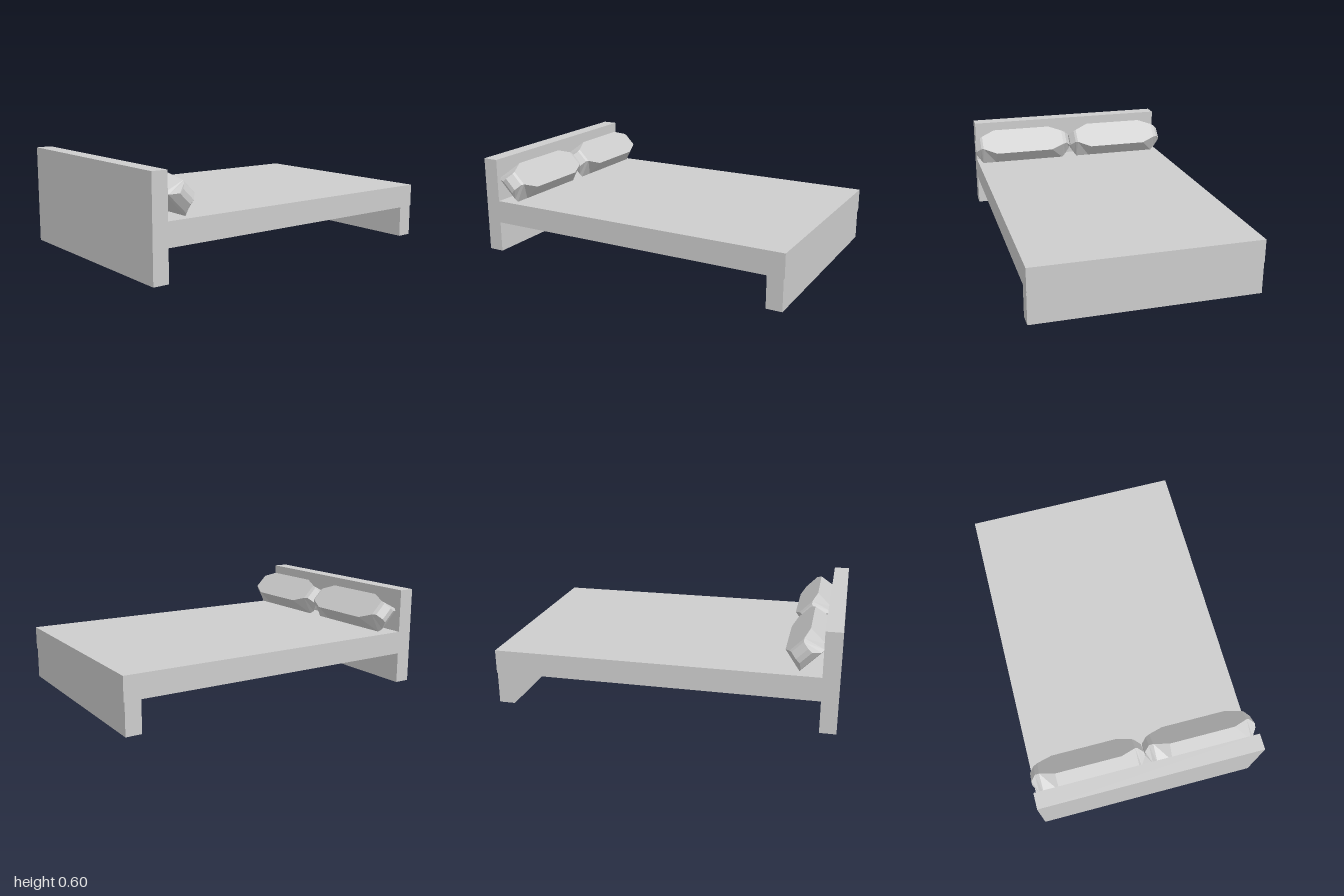
import * as THREE from 'three';

const lightGrey = new THREE.MeshStandardMaterial({ color: 0xcccccc, flatShading: true });
lightGrey.name = 'lightGrey';

// Box given by its extents on each axis
function slab(name, [x0, x1], [y0, y1], [z0, z1]) {
  const mesh = new THREE.Mesh(new THREE.BoxGeometry(x1 - x0, y1 - y0, z1 - z0), lightGrey);
  mesh.position.set((x0 + x1) / 2, (y0 + y1) / 2, (z0 + z1) / 2);
  mesh.name = name;
  return mesh;
}

// Faceted pillow lofted along x: [x, upper half width, lower half width, half thickness]
function pillowGeometry() {
  const sections = [
    [0, 0.045, 0.045, 0.015],
    [0.03, 0.045, 0.075, 0.054],
    [0.055, 0.055, 0.095, 0.062],
    [0.145, 0.095, 0.095, 0.062],
    [0.54, 0.095, 0.095, 0.062],
    [0.63, 0.05, 0.095, 0.062],
    [0.645, 0.045, 0.075, 0.054],
    [0.677, 0.045, 0.045, 0.015],
  ];
  const positions = [];
  const index = [];
  for (const [x, upper, lower, thick] of sections) {
    positions.push(x, thick, upper, x, thick, -upper, x, -thick, -lower, x, -thick, lower);
  }
  const last = (sections.length - 1) * 4;
  for (let s = 0; s < last; s += 4) {
    for (let k = 0; k < 4; k++) {
      const a = s + k, b = s + (k + 1) % 4;
      index.push(a, a + 4, b, b, a + 4, b + 4);
    }
  }
  // End caps
  index.push(0, 1, 2, 0, 2, 3);
  index.push(last, last + 2, last + 1, last, last + 3, last + 2);
  const geometry = new THREE.BufferGeometry();
  geometry.setAttribute('position', new THREE.Float32BufferAttribute(positions, 3));
  geometry.setIndex(index);
  const flat = geometry.toNonIndexed();
  flat.computeVertexNormals();
  return flat;
}

export function createModel() {
  const bed = new THREE.Group();
  bed.name = 'bed';
  const width = [-0.68, 0.66];

  bed.add(slab('headboard', width, [0, 0.595], [0.905, 1]));
  bed.add(slab('mattress', width, [0.19, 0.33], [-1, 0.905]));
  bed.add(slab('footSupport', width, [0, 0.19], [-0.995, -0.9]));

  // Two pillows leaning on the headboard
  const geometry = pillowGeometry();
  [['leftPillow', 0], ['rightPillow', -0.683]].forEach(([name, x]) => {
    const pillow = new THREE.Mesh(geometry, lightGrey);
    pillow.name = name;
    pillow.position.set(x, 0.448, 0.8);
    pillow.rotation.x = -0.79;
    bed.add(pillow);
  });
  return bed;
}
